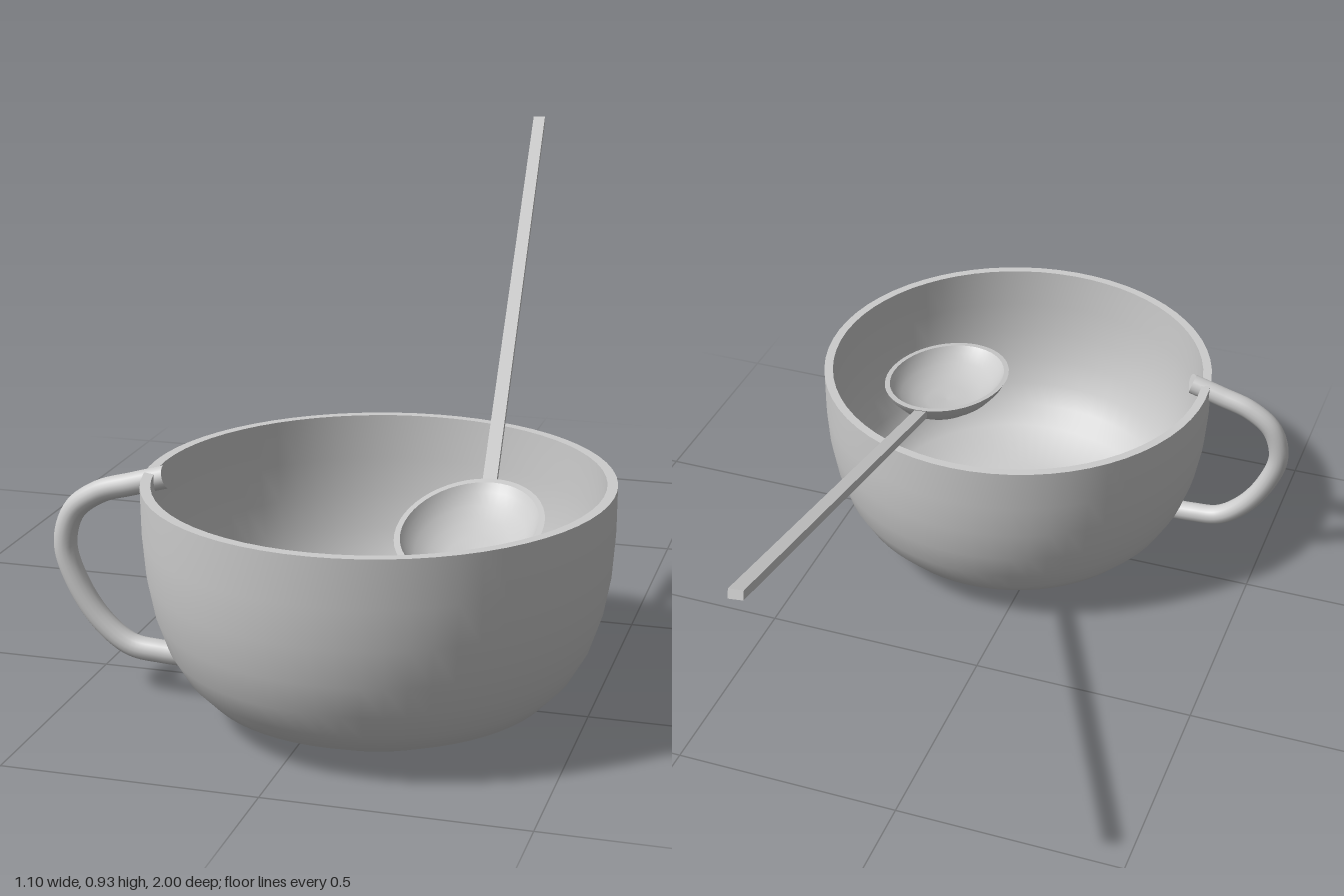
import * as THREE from 'three';

const v2 = (pts) => pts.map(([x, y]) => new THREE.Vector2(x, y));
const v3 = (pts) => pts.map((p) => new THREE.Vector3(...p));

export function createModel() {
  const model = new THREE.Group();
  const ceramic = new THREE.MeshStandardMaterial({ color: 0xcccccc });
  ceramic.name = 'pale grey';

  const add = (parent, name, geometry) => {
    const mesh = new THREE.Mesh(geometry, ceramic);
    mesh.name = name;
    parent.add(mesh);
    return mesh;
  };
  const lathe = (parent, name, pts, segments = 64) =>
    add(parent, name, new THREE.LatheGeometry(v2(pts), segments));

  // Cup: a thin even shell; separate lathes keep the rim and base edges sharp
  const cup = new THREE.Group();
  cup.name = 'cup';
  cup.position.set(0.095, 0, 0.545);
  model.add(cup);
  lathe(cup, 'cupBase', [[0, 0], [0.222, 0]]);
  lathe(cup, 'cupOuterWall', [[0.222, 0], [0.34, 0.056], [0.38, 0.098], [0.41, 0.15],
    [0.432, 0.215], [0.446, 0.29], [0.452, 0.37], [0.453, 0.463]]);
  lathe(cup, 'cupRim', [[0.453, 0.463], [0.433, 0.463]]);
  lathe(cup, 'cupInnerWall', [[0.433, 0.463], [0.432, 0.37], [0.426, 0.293], [0.413, 0.222],
    [0.392, 0.16], [0.365, 0.111], [0.328, 0.073], [0.218, 0.02], [0, 0.02]]);

  // Ear-shaped cup handle with closed ends
  const handle = new THREE.Group();
  handle.name = 'cupHandle';
  handle.position.z = 0.615;
  model.add(handle);
  const path = new THREE.CatmullRomCurve3(v3([[-0.31, 0.454, 0], [-0.38, 0.434, 0],
    [-0.45, 0.412, 0], [-0.505, 0.37, 0], [-0.526, 0.3, 0], [-0.505, 0.225, 0],
    [-0.455, 0.147, 0], [-0.395, 0.101, 0], [-0.33, 0.092, 0], [-0.265, 0.09, 0]]));
  add(handle, 'handleLoop', new THREE.TubeGeometry(path, 64, 0.023, 16));
  for (const t of [0, 1]) {
    const cap = add(handle, 'handleEnd', new THREE.CircleGeometry(0.023, 16));
    const end = path.getPoint(t);
    cap.position.copy(end);
    cap.lookAt(end.clone().addScaledVector(path.getTangent(t), t ? 1 : -1));
  }

  // Spoon bowl: flat-bottomed round shell stretched to an oval, tilted down to the front
  const bowl = new THREE.Group();
  bowl.name = 'spoonBowl';
  bowl.position.set(0.275, 0.385, 0.553);
  bowl.rotation.x = 0.15;
  bowl.scale.set(0.138, 1, 0.208);
  model.add(bowl);
  const dish = (r, depth) => [[0, -depth], [0.35 * r, -0.96 * depth], [0.6 * r, -0.8 * depth],
    [0.8 * r, -0.53 * depth], [0.93 * r, -0.25 * depth], [r, 0]];
  lathe(bowl, 'spoonUnderside', dish(1, 0.074), 48);
  lathe(bowl, 'spoonRim', [[1, 0], [0.92, 0]], 48);
  lathe(bowl, 'spoonHollow', dish(0.92, 0.06).reverse(), 48);

  // Spoon stem: slim bar from the bowl's back edge
  const [tip, root] = v3([[0.072, 0.923, -0.997], [0.267, 0.4, 0.36]]);
  const stem = add(model, 'spoonStem', new THREE.BoxGeometry(0.028, 0.018, tip.distanceTo(root)));
  stem.position.lerpVectors(tip, root, 0.5);
  stem.lookAt(root);

  return model;
}
